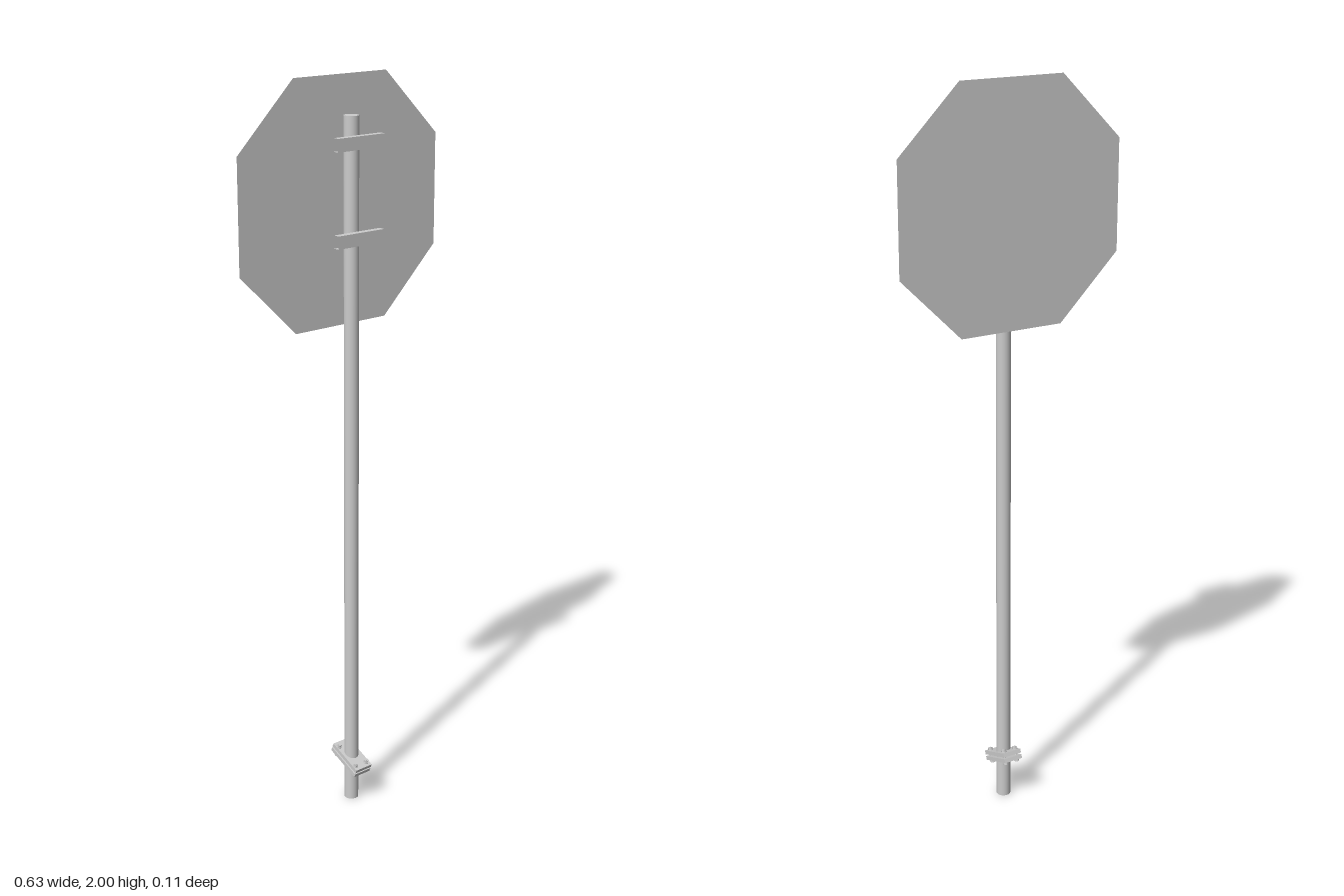
import * as THREE from 'three';

const grey = new THREE.MeshStandardMaterial({ color: 0xcccccc });
const sheet = new THREE.MeshStandardMaterial({ color: 0xcccccc, side: THREE.DoubleSide });

function add(parent, name, geometry, material = grey, x = 0, y = 0, z = 0) {
  const mesh = new THREE.Mesh(geometry, material);
  mesh.name = name;
  mesh.position.set(x, y, z);
  parent.add(mesh);
  return mesh;
}

// Thin eight-sided panel
function panelGeometry() {
  const half = 0.316, edge = 0.146;
  const shape = new THREE.Shape([
    [edge, -half], [half, -edge], [half, edge], [edge, half],
    [-edge, half], [-half, edge], [-half, -edge], [-edge, -half],
  ].map(([x, y]) => new THREE.Vector2(x, y)));
  return new THREE.ShapeGeometry(shape);
}

// Open channel bar with a U-bolt round the pole
function createClamp() {
  const clamp = new THREE.Group();
  clamp.name = 'clamp';
  const width = 0.148, height = 0.033, front = 0.04, depth = 0.018;
  add(clamp, 'channelWeb', new THREE.PlaneGeometry(width, height), sheet, 0, 0, front);
  for (const s of [-1, 1]) {
    const flange = add(clamp, 'channelFlange', new THREE.PlaneGeometry(width, depth), sheet,
      0, s * height / 2, front - depth / 2);
    flange.rotation.x = -s * Math.PI / 2;
  }
  const r = 0.022;
  const path = new THREE.CurvePath();
  const points = [new THREE.Vector3(-r, 0, front)];
  for (let i = 0; i <= 16; i++) {
    const a = Math.PI * i / 16;
    points.push(new THREE.Vector3(-r * Math.cos(a), 0, -r * Math.sin(a)));
  }
  points.push(new THREE.Vector3(r, 0, front));
  for (let i = 1; i < points.length; i++) path.add(new THREE.LineCurve3(points[i - 1], points[i]));
  add(clamp, 'uBolt', new THREE.TubeGeometry(path, 80, 0.002, 8, false));
  return clamp;
}

// Two slanted plates held together by four bolts
function createBaseCoupling() {
  const coupling = new THREE.Group();
  coupling.name = 'baseCoupling';
  for (const s of [-1, 1]) {
    add(coupling, 'couplingPlate', new THREE.BoxGeometry(0.055, 0.011, 0.11), grey, 0, s * 0.008, 0);
  }
  for (const x of [-0.018, 0.018]) for (const z of [-0.039, 0.039]) {
    add(coupling, 'boltShank', new THREE.CylinderGeometry(0.004, 0.004, 0.044, 12), grey, x, 0, z);
    for (const s of [-1, 1]) {
      add(coupling, 'washer', new THREE.CylinderGeometry(0.008, 0.008, 0.002, 20), grey, x, s * 0.0145, z);
      add(coupling, 'hexNut', new THREE.CylinderGeometry(0.0065, 0.0065, 0.005, 6), grey, x, s * 0.018, z);
    }
  }
  coupling.rotation.x = THREE.MathUtils.degToRad(22);
  coupling.position.y = 0.122;
  return coupling;
}

export function createModel() {
  const model = new THREE.Group();
  model.name = 'roadSign';

  add(model, 'pole', new THREE.CylinderGeometry(0.0195, 0.0195, 1.905, 32), grey, 0, 0.9525, 0);
  add(model, 'signPanel', panelGeometry(), sheet, 0, 1.684, -0.042);

  for (const y of [1.842, 1.604]) {
    const clamp = createClamp();
    clamp.position.y = y;
    model.add(clamp);
  }

  model.add(createBaseCoupling());
  return model;
}
